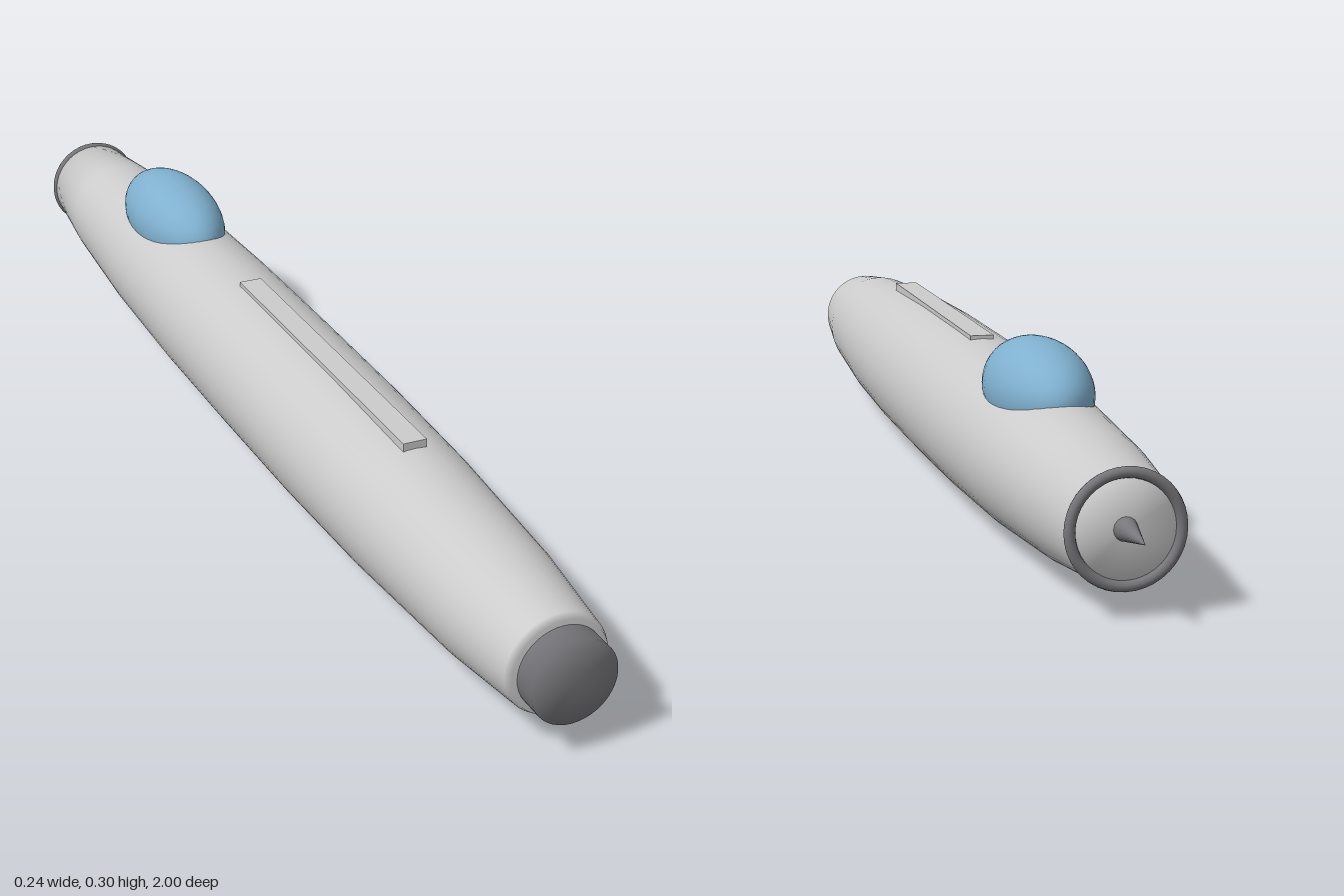
import * as THREE from 'three';

const AXIS_Y = 0.122;

const paint = (color = 0xcccccc) => new THREE.MeshStandardMaterial({ color, side: THREE.DoubleSide });

// Turned part around the long axis; profile points are [radius, z], back to front
function turned(profile, segments) {
  const geo = new THREE.LatheGeometry(profile.map(([r, z]) => new THREE.Vector2(r, z)), segments);
  return geo.rotateX(Math.PI / 2).translate(0, AXIS_Y, 0);
}

export function createModel() {
  const model = new THREE.Group();
  const light = paint();
  const dark = paint(0x77777b);
  const glass = paint(0x7fb0cf);

  const add = (name, geometry, material) => {
    const mesh = new THREE.Mesh(geometry, material);
    mesh.name = name;
    model.add(mesh);
    return mesh;
  };

  // Long barrel, fullest in the middle and tapering to both ends
  add('fuselage', turned([
    [0, -0.915], [0.08, -0.915], [0.098, -0.75], [0.113, -0.5], [0.119, -0.25],
    [0.12, 0], [0.119, 0.27], [0.113, 0.52], [0.098, 0.79], [0.08, 0.95], [0.075, 0.962], [0, 0.962],
  ], 48), light);

  // Short plug at the front end
  add('frontPlug', turned([[0.067, 0.95], [0.067, 1], [0, 1]], 40), dark);

  // Ring and spike at the back end
  const ring = add('rearRing', new THREE.TorusGeometry(0.077, 0.008, 10, 40), dark);
  ring.position.set(0, AXIS_Y, -0.916);

  const spike = add('rearSpike', new THREE.ConeGeometry(0.018, 0.09, 16), dark);
  spike.rotation.x = -Math.PI / 2;
  spike.position.set(0, AXIS_Y, -0.955);

  // Bubble canopy sunk into the top
  const canopy = add('canopy', new THREE.SphereGeometry(1, 40, 24), glass);
  canopy.scale.set(0.077, 0.077, 0.159);
  canopy.position.set(0, 0.225, -0.461);

  // Flat rail along the top
  const rail = add('topRail', new THREE.BoxGeometry(0.039, 0.016, 0.624), light);
  rail.position.set(0, 0.239, 0.208);

  return model;
}
